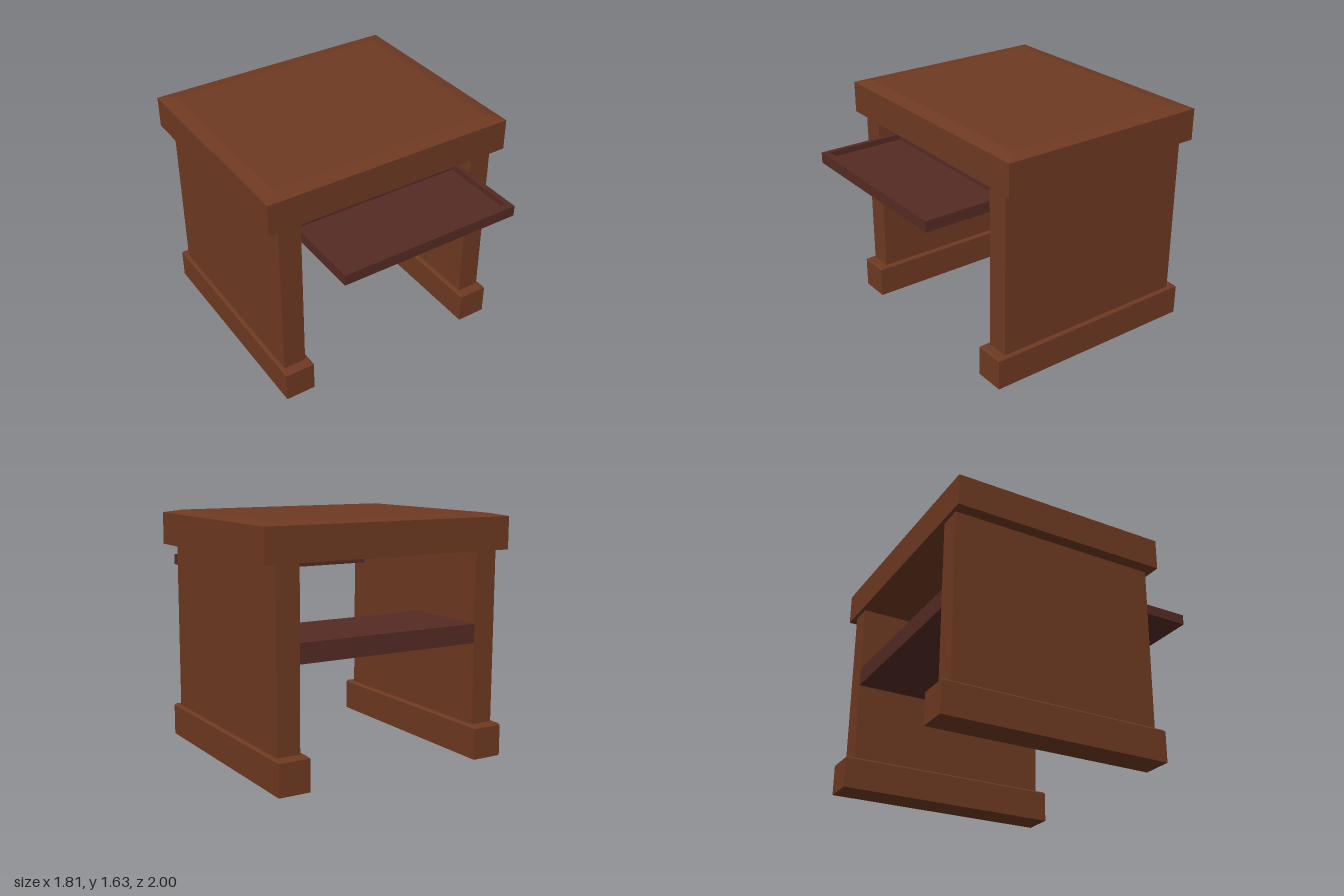
import * as THREE from 'three';

const wood = new THREE.MeshStandardMaterial({ color: 0x6f3a22 });
wood.name = 'brownWood';
const darkWood = new THREE.MeshStandardMaterial({ color: 0x562b24 });
darkWood.name = 'darkWood';

// Box from its lower and upper limits on each axis
function box(name, material, [x0, x1], [y0, y1], [z0, z1]) {
  const mesh = new THREE.Mesh(new THREE.BoxGeometry(x1 - x0, y1 - y0, z1 - z0), material);
  mesh.name = name;
  mesh.position.set((x0 + x1) / 2, (y0 + y1) / 2, (z0 + z1) / 2);
  return mesh;
}

// Box whose top edges slope inwards by `inset` over the last `rise` of height
function bevelledBox(name, material, [x0, x1], [y0, y1], [z0, z1], inset, rise) {
  const w = x1 - x0, h = y1 - y0, d = z1 - z0;
  const geometry = new THREE.BoxGeometry(w, h, d, 1, 2, 1);
  const p = geometry.attributes.position;
  for (let i = 0; i < p.count; i++) {
    const y = p.getY(i);
    if (Math.abs(y) < 1e-6) {
      p.setY(i, h / 2 - rise);
    } else if (y > 0) {
      p.setX(i, p.getX(i) - Math.sign(p.getX(i)) * inset);
      p.setZ(i, p.getZ(i) - Math.sign(p.getZ(i)) * inset);
    }
  }
  const flat = geometry.toNonIndexed();
  flat.computeVertexNormals();
  const mesh = new THREE.Mesh(flat, material);
  mesh.name = name;
  mesh.position.set((x0 + x1) / 2, (y0 + y1) / 2, (z0 + z1) / 2);
  return mesh;
}

export function createModel() {
  const desk = new THREE.Group();
  desk.name = 'desk';

  // Thick top with a shallow bevel
  desk.add(bevelledBox('deskTop', wood, [-0.905, 0.905], [1.39, 1.63], [-0.955, 0.575], 0.1, 0.02));

  // Side panels on plinth feet
  for (const [side, s] of [['left', 1], ['right', -1]]) {
    const span = (a, b) => (s > 0 ? [a, b] : [-b, -a]);
    desk.add(box(side + 'Panel', wood, span(0.66, 0.82), [0.22, 1.39], [-0.93, 0.535]));
    desk.add(bevelledBox(side + 'Foot', wood, span(0.63, 0.845), [0, 0.225], [-1, 0.6], 0.012, 0.012));
  }

  // Rear shelf between the panels
  desk.add(box('shelf', darkWood, [-0.66, 0.66], [0.78, 0.91], [-0.93, -0.31]));

  // Pulled-out tray with a raised rim, higher at the back
  const tray = new THREE.Group();
  tray.name = 'tray';
  tray.add(
    box('trayFloor', darkWood, [-0.61, 0.62], [1.19, 1.225], [0.4, 0.955]),
    box('trayFrontRim', darkWood, [-0.64, 0.655], [1.19, 1.265], [0.955, 1]),
    box('trayBackRim', darkWood, [-0.64, 0.655], [1.19, 1.295], [0.37, 0.4]),
    box('trayRightRim', darkWood, [-0.64, -0.61], [1.19, 1.265], [0.4, 0.955]),
    box('trayLeftRim', darkWood, [0.62, 0.655], [1.19, 1.265], [0.4, 0.955]),
  );
  desk.add(tray);

  return desk;
}
